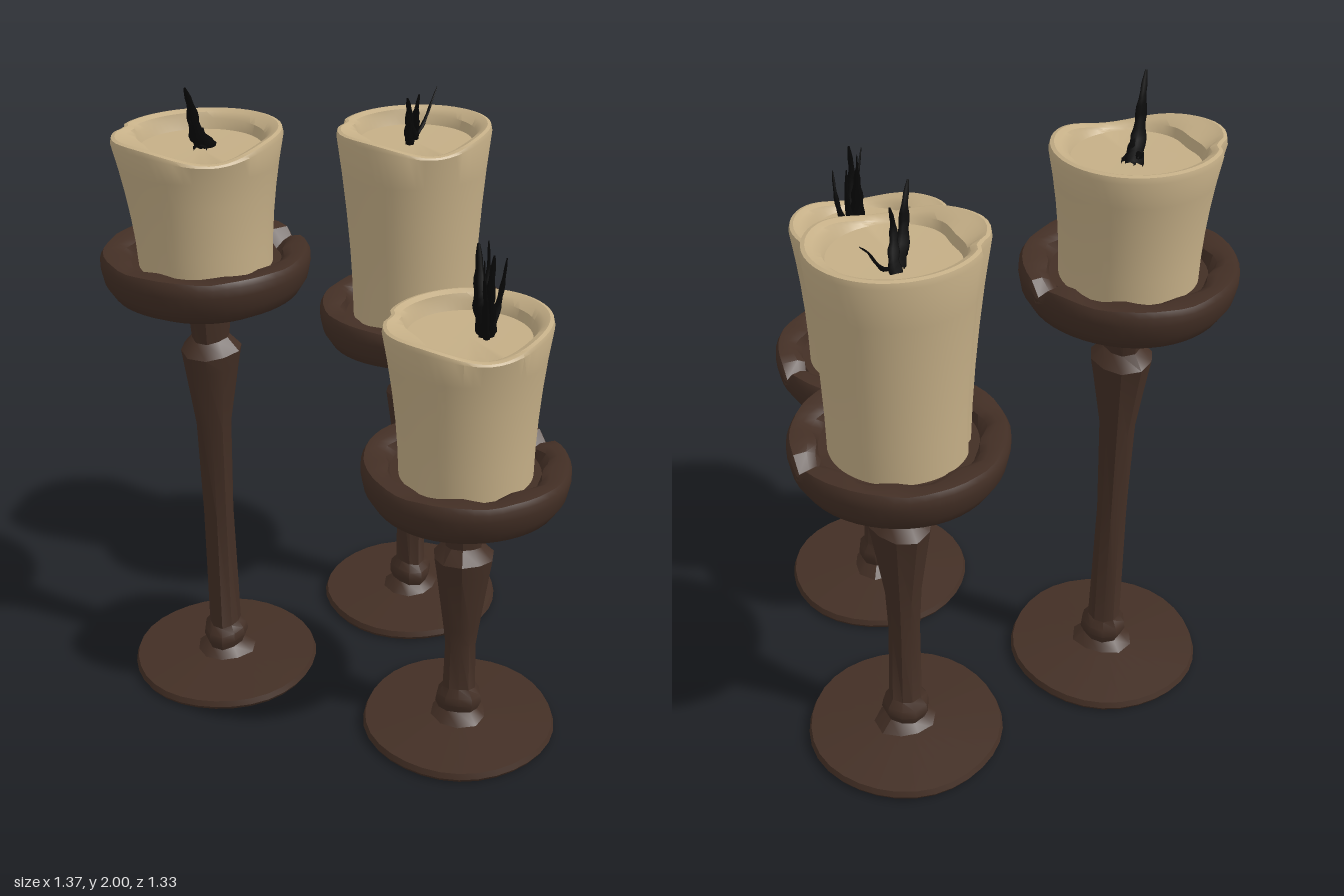
import * as THREE from 'three';
import { toCreasedNormals } from 'three/addons/utils/BufferGeometryUtils.js';

const mat = (name, color, side = THREE.FrontSide) => {
  const m = new THREE.MeshStandardMaterial({ color, side });
  m.name = name;
  return m;
};

// Smooth bump around an angle
const bump = (a, centre, width) => {
  const d = Math.atan2(Math.sin(a - centre), Math.cos(a - centre));
  return Math.exp(-((d / width) ** 2));
};

// Lathe whose vertices are moved by rule(angle, radius, y) -> [radius, y]
function turned(name, profile, segments, material, rule) {
  const geo = new THREE.LatheGeometry(profile.map(([r, y]) => new THREE.Vector2(r, y)), segments);
  const p = geo.attributes.position;
  for (let i = 0; i < p.count; i++) {
    const x = p.getX(i), z = p.getZ(i), a = Math.atan2(z, x);
    const [r, y] = rule(a, Math.hypot(x, z), p.getY(i));
    p.setXYZ(i, r * Math.cos(a), y, r * Math.sin(a));
  }
  geo.deleteAttribute('normal');
  const mesh = new THREE.Mesh(toCreasedNormals(geo, 0.6), material);
  mesh.name = name;
  return mesh;
}

// Tapering charred strand that creeps sideways, then curls up to its tip
function strand([radius, baseX, baseZ, tipX, tipY, tipZ], material) {
  const path = [0, 0.25, 0.5, 0.75, 1].map((t) => {
    const sway = 0.008 * Math.sin(t * Math.PI * 2 + tipX * 40);
    return new THREE.Vector3(
      baseX + (tipX - baseX) * t ** 0.85 + sway,
      -0.06 + (tipY + 0.06) * t ** 1.25,
      baseZ + (tipZ - baseZ) * t ** 0.85 - sway);
  });
  const curve = new THREE.CatmullRomCurve3(path);
  const steps = 14, sides = 6;
  const geo = new THREE.TubeGeometry(curve, steps, radius, sides);
  const p = geo.attributes.position, v = new THREE.Vector3();
  for (let i = 0; i < p.count; i++) {
    const t = Math.floor(i / (sides + 1)) / steps;
    const c = curve.getPointAt(t);
    const k = (1 - 0.85 * t ** 1.5) * (1 + 0.15 * Math.sin(t * 23));
    v.fromBufferAttribute(p, i).sub(c).multiplyScalar(k).add(c);
    p.setXYZ(i, v.x, v.y, v.z);
  }
  const mesh = new THREE.Mesh(geo, material);
  mesh.name = 'wickStrand';
  return mesh;
}

// Round foot with a shallow hollow underneath
function foot(seed, wood) {
  const profile = [[0, 0.03], [0.05, 0.028], [0.075, 0.006], [0.298, 0], [0.305, 0.012],
    [0.298, 0.03], [0.1, 0.042], [0, 0.045]];
  return turned('foot', profile, 32, wood,
    (a, r, y) => [r * (1 + 0.006 * Math.sin(5 * a + seed)), y]);
}

// Carved stem: flare, ring, shaft, collar and neck
function stem(low, seed, wood) {
  const collar = low - 0.16;
  const profile = [[0.1, 0.036], [0.062, 0.07], [0.074, 0.1], [0.07, 0.125], [0.052, 0.15],
    [0.048, collar * 0.5], [0.055, collar - 0.26], [0.086, collar - 0.05], [0.094, collar],
    [0.058, collar + 0.04], [0.07, low + 0.02]];
  return turned('stem', profile, 10, wood, (a, r, y) => [
    r * (1 + 0.05 * Math.sin(3 * a + y * 5 + seed)), y + 0.006 * Math.sin(2 * a + seed)]);
}

// Heavy dish with a chipped rim and a split on one side
function dish(low, top, seed, wood) {
  const profile = [[0, low], [0.14, low + 0.002], [0.225, low + 0.018], [0.278, low + 0.045],
    [0.303, low + 0.085], [0.312, low + 0.13], [0.311, top - 0.018], [0.302, top - 0.002],
    [0.262, top], [0.238, top - 0.012], [0.225, top - 0.045], [0, top - 0.05]];
  return turned('dish', profile, 48, wood, (a, r, y) => {
    const rim = y > top - 0.03 ? 1 : 0;
    const inner = rim && r < 0.27 ? 0.01 * Math.sin(9 * a + seed) : 0;
    const split = rim * 0.045 * bump(a, 0, 0.09);
    const chips = rim * 0.005 * Math.max(0, Math.sin(7 * a + seed * 2));
    return [r * (1 + 0.006 * Math.sin(4 * a + seed)) + inner, y - split - chips];
  });
}

// Flared wax body, softened rim and melted pool
function candle(base, top, wax) {
  const b = base - 0.05, h = top - 0.02 - b;
  const profile = [[0, b]];
  for (let i = 0; i <= 5; i++) profile.push([0.2 + 0.036 * (i / 5) ** 2, b + h * i / 5]);
  profile.push([0.232, top - 0.003], [0.221, top], [0.203, top - 0.008],
    [0.19, top - 0.025], [0.18, top - 0.055], [0, top - 0.06]);
  return turned('candle', profile, 56, wax, (a, r, y) => {
    const t = (y - b) / h;
    const drip = bump(a, Math.PI * 1.03, 0.35);
    const seam = bump(a, Math.PI * 1.2, 0.1);
    const outer = t * (0.01 * Math.cos(2 * a) + 0.018 * drip) - 0.016 * seam;
    const inner = r > 0.17 ? -0.02 * drip : 0;
    const melt = Math.min(1, Math.max(0, (y - top + 0.06) / 0.055));
    const dip = r > 0.185 ? 0.042 * melt * bump(a, 1.85, 0.65) : 0;
    return [r + (r > 0.195 ? outer : inner), y - dip];
  });
}

// Strands as [radius, base x, base z, tip x, tip y, tip z] from the candle's top centre
const wickA = [
  [0.026, 0.03, -0.03, -0.085, 0.15, 0.097],
  [0.02, 0.045, -0.02, -0.06, 0.05, 0.06],
  [0.02, -0.02, 0.03, 0.03, -0.02, -0.05],
];
const wickB = [
  [0.022, 0.02, -0.05, -0.085, 0.11, 0.08],
  [0.018, 0.03, -0.07, 0.01, 0.09, 0],
  [0.014, -0.02, 0, -0.075, 0.06, 0.07],
  [0.007, 0.02, -0.04, 0.155, 0.07, -0.115],
];
const wickC = [
  [0.028, 0.045, 0.02, 0.04, 0.2, -0.03],
  [0.024, 0.04, 0.02, 0.01, 0.21, 0.09],
  [0.014, 0.05, 0.01, 0.085, 0.2, -0.04],
  [0.012, 0.05, 0.02, 0.1, 0.17, 0.03],
  [0.01, 0.04, 0.03, -0.045, 0.17, 0.13],
  [0.009, 0.05, 0.02, 0, 0.19, 0.06],
];

export function createModel() {
  const wood = mat('darkWood', 0x432f25);
  const wax = mat('wax', 0xc4ae86);
  const char = mat('charredWick', 0x080808, THREE.DoubleSide);
  const model = new THREE.Group();
  model.name = 'candleTrio';

  // One complete candlestick at a given spot and height
  const addCandlestick = (x, z, dishTop, candleTop, strands, seed) => {
    const unit = new THREE.Group();
    unit.name = 'candlestick';
    unit.position.set(x, 0, z);
    const wick = new THREE.Group();
    wick.name = 'wick';
    wick.position.y = candleTop;
    strands.forEach((s) => wick.add(strand(s, char)));
    const low = dishTop - 0.175;
    unit.add(foot(seed, wood), stem(low, seed, wood), dish(low, dishTop, seed, wood),
      candle(dishTop, candleTop, wax), wick);
    model.add(unit);
  };
  addCandlestick(-0.375, -0.355, 1.49, 1.85, wickA, 0);
  addCandlestick(0.37, -0.355, 1.155, 1.75, wickB, 1.7);
  addCandlestick(0.1, 0.35, 0.965, 1.41, wickC, 3.4);
  return model;
}
